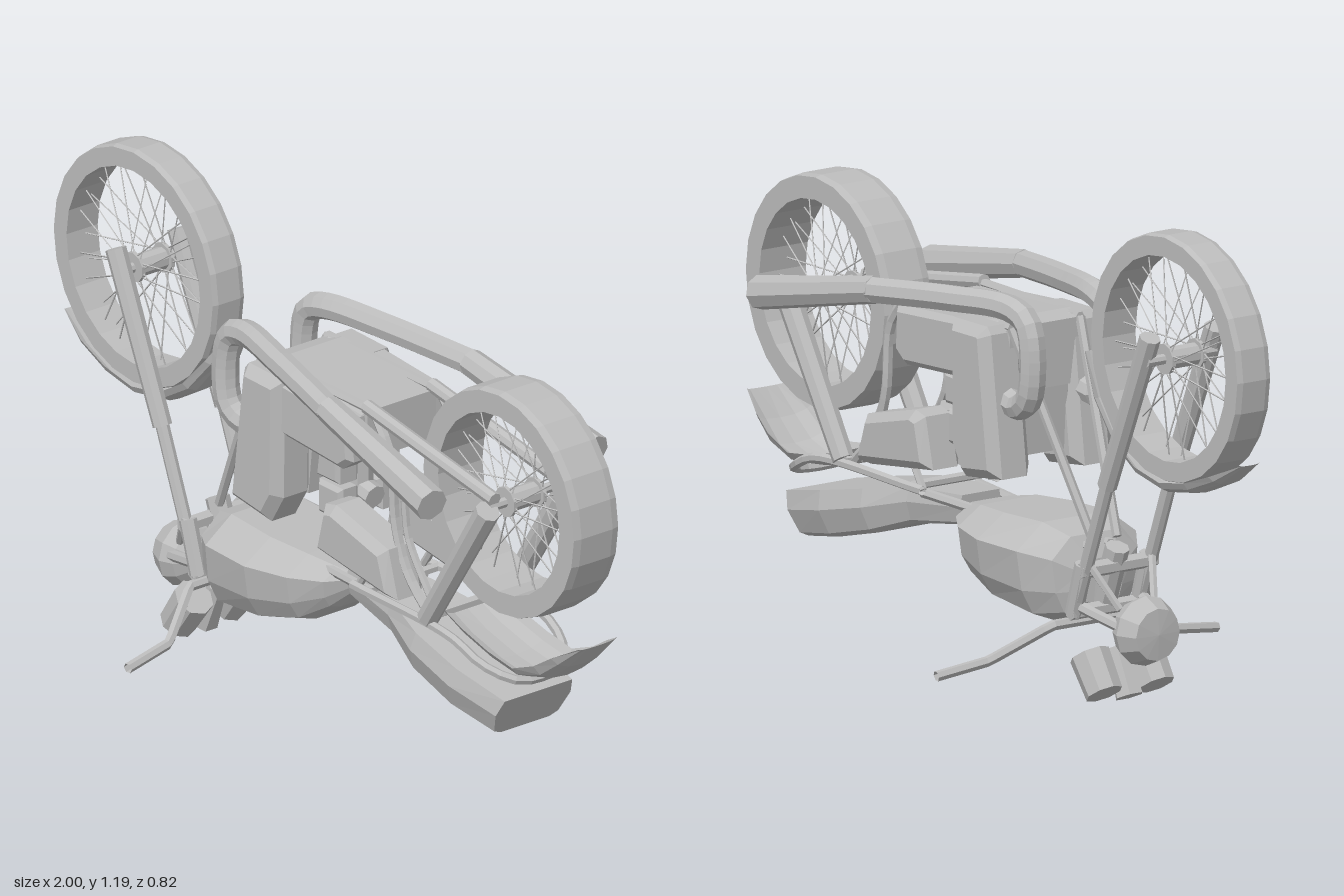
import * as THREE from 'three';

const C = 0.014; // centre plane of the bike
const V = (x, y, z = 0) => new THREE.Vector3(x, y, z + C);

export function createModel() {
  const root = new THREE.Group();
  root.name = 'upturnedMotorcycle';
  const grey = new THREE.MeshStandardMaterial({ color: 0xbcbcbc, flatShading: true, side: THREE.DoubleSide });
  grey.name = 'grey';

  function add(name, geometry, parent = root) {
    const mesh = new THREE.Mesh(geometry, grey);
    mesh.name = name;
    parent.add(mesh);
    return mesh;
  }
  // straight, optionally tapered bar between two points
  function rod(name, a, b, r1, r2 = r1, sides = 8, parent = root) {
    const d = b.clone().sub(a);
    const m = add(name, new THREE.CylinderGeometry(r2, r1, d.length(), sides), parent);
    m.position.copy(a).addScaledVector(d, 0.5);
    m.quaternion.setFromUnitVectors(new THREE.Vector3(0, 1, 0), d.normalize());
    return m;
  }
  function tube(name, pts, r, segs = 16, sides = 6) {
    const curve = new THREE.CatmullRomCurve3(pts, false, 'centripetal');
    return add(name, new THREE.TubeGeometry(curve, segs, r, sides));
  }
  // side profile extruded between two z values, with chamfered edges
  function slab(name, pts, z0, z1, bevel = 0.015) {
    const shape = new THREE.Shape(pts.map(p => new THREE.Vector2(p[0], p[1])));
    const geo = new THREE.ExtrudeGeometry(shape, {
      depth: z1 - z0 - 2 * bevel, bevelEnabled: true, bevelSize: bevel,
      bevelThickness: bevel, bevelOffset: -bevel, bevelSegments: 1 });
    geo.translate(0, 0, C + z0 + bevel);
    return add(name, geo);
  }
  // skin over equal cross-sections
  function loft(name, rings, closed) {
    const n = rings[0].length, idx = [];
    const pos = rings.flat().flatMap(p => [p.x, p.y, p.z]);
    for (let i = 0; i < rings.length - 1; i++) {
      for (let j = 0; j < (closed ? n : n - 1); j++) {
        const a = i * n + j, b = i * n + (j + 1) % n;
        idx.push(a, b, a + n, b, b + n, a + n);
      }
    }
    if (closed) {
      const e = (rings.length - 1) * n;
      for (let j = 1; j < n - 1; j++) idx.push(0, j + 1, j, e, e + j, e + j + 1);
    }
    const geo = new THREE.BufferGeometry();
    geo.setAttribute('position', new THREE.Float32BufferAttribute(pos, 3));
    geo.setIndex(idx);
    geo.computeVertexNormals();
    return add(name, geo);
  }
  // closed body from [xTop, yTop, xBottom, yBottom, halfWidth] stations
  function body(name, stations, half) {
    const ring = half.concat(half.slice().reverse().map(([t, w]) => [t, -w]));
    loft(name, stations.map(([xt, yt, xb, yb, w]) =>
      ring.map(([t, k]) => V(xb + (xt - xb) * t, yb + (yt - yb) * t, k * w))), true);
  }
  // curved channel guard from [x, y, lip, halfWidth], lips pointing to the wheel centre
  function fender(name, path, cx, cy) {
    loft(name, path.map(([x, y, lip, w]) => {
      const n = new THREE.Vector3(cx - x, cy - y, 0).normalize();
      return [[-1, 1], [-0.85, 0.45], [-0.5, 0.1], [0, 0], [0.5, 0.1], [0.85, 0.45], [1, 1]].map(([k, d]) =>
        V(x, y, k * w).addScaledVector(n, lip * d));
    }), false);
  }

  // wheel with rim, hub and crossed spokes
  function wheel(name, x, y, z, ro, ri, w, spokes) {
    const g = new THREE.Group();
    g.name = name;
    g.position.set(x, y, z);
    root.add(g);
    const P = [[ri, -w], [ro * 0.985, -w], [ro, -w * 0.7], [ro, w * 0.7], [ro * 0.985, w], [ri, w], [ri, -w]];
    const tyre = new THREE.LatheGeometry(P.map(p => new THREE.Vector2(p[0], p[1])), 24);
    add('tyre', tyre.rotateX(Math.PI / 2), g);
    const along = d => new THREE.Vector3(0, 0, d);
    rod('hub', along(-0.05), along(0.05), 0.028, 0.028, 10, g);
    rod('axle', along(-0.1), along(0.1), 0.013, 0.013, 8, g);
    for (const s of [-1, 1]) rod('hubFlange', along(s * 0.04), along(s * 0.05), 0.038, 0.038, 10, g);
    for (let i = 0; i < spokes; i++) {
      const a = i / spokes * Math.PI * 2, b = a + (i % 4 < 2 ? 0.4 : -0.4);
      const d = i % 2 ? 0.045 : -0.045;
      rod('spoke', new THREE.Vector3(0.035 * Math.cos(a), 0.035 * Math.sin(a), d),
        new THREE.Vector3((ri + 0.01) * Math.cos(b), (ri + 0.01) * Math.sin(b), d * 0.2), 0.002, 0.002, 4, g);
    }
  }
  wheel('frontWheel', -0.698, 0.89, 0.013, 0.302, 0.25, 0.048, 36);
  wheel('rearWheel', 0.709, 0.765, 0.025, 0.286, 0.227, 0.068, 36);

  fender('frontFender', [[-0.98, 0.68, 0.004, 0.03], [-0.9, 0.62, 0.025, 0.055], [-0.8, 0.577, 0.03, 0.06],
    [-0.69, 0.557, 0.03, 0.06], [-0.58, 0.577, 0.03, 0.06], [-0.48, 0.637, 0.03, 0.06],
    [-0.4, 0.73, 0.025, 0.055], [-0.35, 0.835, 0.006, 0.035]], -0.698, 0.89);
  fender('rearFender', [[0.47, 0.41, 0.03, 0.085], [0.57, 0.37, 0.035, 0.09], [0.68, 0.343, 0.035, 0.092],
    [0.78, 0.33, 0.035, 0.092], [0.87, 0.355, 0.045, 0.092], [0.93, 0.405, 0.035, 0.085],
    [0.985, 0.47, 0.005, 0.06]], 0.709, 0.765);

  // fuel tank and seat
  body('fuelTank', [[-0.375, 0.33, -0.385, 0.22, 0.06], [-0.345, 0.385, -0.355, 0.185, 0.125],
    [-0.27, 0.41, -0.28, 0.168, 0.175], [-0.12, 0.403, -0.12, 0.187, 0.182],
    [0, 0.395, 0, 0.22, 0.15], [0.08, 0.38, 0.07, 0.27, 0.1], [0.115, 0.37, 0.11, 0.315, 0.05]],
  [[1, 0.55], [0.75, 1], [0.35, 0.93], [0.1, 0.75], [0, 0.4]]);
  body('seat', [[0.115, 0.39, 0.12, 0.315, 0.06], [0.3, 0.378, 0.3, 0.285, 0.085], [0.44, 0.348, 0.42, 0.24, 0.125],
    [0.6, 0.313, 0.57, 0.2, 0.135], [0.762, 0.277, 0.71, 0.172, 0.115]],
  [[1, 0.9], [0.6, 1], [0.1, 0.85], [0, 0.65]]);

  // engine
  slab('crankcase', [[-0.15, 0.7], [-0.15, 0.86], [-0.1, 0.872], [0.25, 0.855], [0.25, 0.73], [0.2, 0.705]], -0.12, 0.12);
  slab('cylinderCore', [[-0.14, 0.54], [-0.15, 0.72], [0, 0.72], [-0.02, 0.54]], -0.08, 0.08);
  rod('carburettor', V(0.09, 0.51), V(0.09, 0.72), 0.035);
  rod('intake', V(-0.02, 0.6), V(0.15, 0.57), 0.03);

  // cranked handlebar
  const bar = new THREE.CurvePath();
  const barPts = [[-0.293, 0.085, 0.41], [-0.31, 0.105, 0.27], [-0.39, 0.19, 0.14]];
  const all = barPts.concat(barPts.slice().reverse().map(p => [p[0], p[1], -p[2]]))
    .map(p => new THREE.Vector3(p[0], p[1], p[2]));
  for (let i = 0; i < all.length - 1; i++) bar.add(new THREE.LineCurve3(all[i], all[i + 1]));
  add('handlebar', new THREE.TubeGeometry(bar, 40, 0.013, 6));

  // parts mirrored on both sides
  for (const s of [1, -1]) {
    const span = (a, b) => s > 0 ? [a, b] : [-b, -a];
    slab('engineSideBlock', [[-0.19, 0.505], [-0.145, 0.85], [-0.13, 0.868], [0.005, 0.865], [0, 0.56], [-0.045, 0.485]],
      ...span(0.06, 0.182), 0.025);
    slab('engineCover', [[-0.02, 0.72], [-0.02, 0.865], [0.245, 0.845], [0.25, 0.735], [0.21, 0.705]], ...span(0.09, 0.162));
    slab('carburettorBowl', [[0.045, 0.62], [0.055, 0.695], [0.13, 0.7], [0.13, 0.62]], ...span(0.03, 0.1), 0.01);
    slab('carburettorCap', [[0.04, 0.52], [0.04, 0.605], [0.13, 0.605], [0.13, 0.52]], ...span(0.03, 0.09), 0.01);
    slab('sidePanel', [[0.11, 0.465], [0.14, 0.59], [0.18, 0.6], [0.375, 0.55], [0.41, 0.43], [0.36, 0.43]],
      ...span(0.05, 0.165), 0.022);

    // front fork
    rod('forkLower', V(-0.705, 0.95, s * 0.095), V(-0.53, 0.55, s * 0.095), 0.026, 0.024);
    rod('forkUpper', V(-0.53, 0.55, s * 0.095), V(-0.395, 0.205, s * 0.095), 0.017);
    rod('forkShroud', V(-0.435, 0.34, s * 0.095), V(-0.395, 0.21, s * 0.095), 0.022);
    rod('lampBracket', V(-0.55, 0.2, s * 0.06), V(-0.42, 0.23, s * 0.09), 0.014, 0.014, 6);
    rod('lampStay', V(-0.52, 0.24, s * 0.05), V(-0.455, 0.34, s * 0.09), 0.01, 0.01, 6);
    rod('gauge', new THREE.Vector3(-0.452, 0.122, s * 0.076), new THREE.Vector3(-0.512, 0.038, s * 0.076), 0.05, 0.046, 8);

    // rear suspension
    rod('shockAbsorber', V(0.725, 0.765, s * 0.125), V(0.5, 0.41, s * 0.125), 0.031, 0.027);
    rod('swingArm', V(0.72, 0.785, s * 0.1), V(0.24, 0.865, s * 0.1), 0.018);

    // exhaust
    tube('exhaustPipe', [V(-0.14, 0.69, s * 0.11), V(-0.2, 0.68, s * 0.115), V(-0.25, 0.715, s * 0.12),
      V(-0.262, 0.83, s * 0.12), V(-0.24, 0.895, s * 0.12), V(-0.18, 0.918, s * 0.125),
      V(0, 0.912, s * 0.165), V(0.25, 0.89, s * 0.22)], 0.033, 30, 8);
    rod('muffler', V(0.24, 0.892, s * 0.218), V(0.675, 0.8, s * 0.25 + 0.006), 0.034, 0.042);

    // frame tubes
    rod('downTube', V(-0.15, 0.86, s * 0.1), V(-0.39, 0.38, s * 0.035), 0.012, 0.012, 6);
    rod('engineRail', V(-0.15, 0.86, s * 0.1), V(0.27, 0.86, s * 0.1), 0.012, 0.012, 6);
    tube('rearFrameTube', [V(0.27, 0.86, s * 0.1), V(0.335, 0.77, s * 0.105), V(0.355, 0.6, s * 0.105),
      V(0.4, 0.49, s * 0.105), V(0.49, 0.4, s * 0.105)], 0.013);
    tube('rearBrace', [V(0.37, 0.66, s * 0.09), V(0.385, 0.57, s * 0.09), V(0.47, 0.44, s * 0.09)], 0.01, 8);
    rod('topRail', V(-0.37, 0.36, s * 0.03), V(0.24, 0.375, s * 0.08), 0.012, 0.012, 6);
    rod('seatStay', V(0.21, 0.39, s * 0.1), V(0.25, 0.45, s * 0.1), 0.01, 0.01, 6);
  }

  // looped rail around the seat tail
  tube('tailLoop', [[0.2, 0.392, 0.11], [0.6, 0.395, 0.132], [0.7, 0.355, 0.12], [0.765, 0.325, 0.07], [0.775, 0.318, 0],
    [0.765, 0.325, -0.07], [0.7, 0.355, -0.12], [0.6, 0.395, -0.132], [0.2, 0.392, -0.11]].map(p => V(...p)), 0.012, 36);
  rod('rearCrossTube', V(0.49, 0.41, -0.13), V(0.49, 0.41, 0.13), 0.014, 0.014, 6);
  rod('railCrossTube', V(0.25, 0.393, -0.11), V(0.25, 0.393, 0.11), 0.012, 0.012, 6);

  // steering head, clamps, gauge bracket and lamp
  rod('steeringHead', V(-0.44, 0.37), V(-0.38, 0.21), 0.03);
  rod('upperClamp', V(-0.4, 0.215, -0.11), V(-0.4, 0.215, 0.11), 0.018, 0.018, 6);
  rod('lowerClamp', V(-0.438, 0.325, -0.11), V(-0.438, 0.325, 0.11), 0.02, 0.02, 6);
  rod('gaugeBracket', new THREE.Vector3(-0.455, 0.13, 0), new THREE.Vector3(-0.508, 0.02, 0), 0.024, 0.036, 6);
  const lamp = new THREE.LatheGeometry([[0, -0.06], [0.04, -0.058], [0.072, -0.03], [0.086, 0.005], [0.064, 0.055], [0, 0.06]]
    .map(p => new THREE.Vector2(p[0], p[1])), 12);
  const headlamp = add('headlamp', lamp);
  headlamp.rotation.z = Math.PI / 2;
  headlamp.position.copy(V(-0.55, 0.188));

  return root;
}
